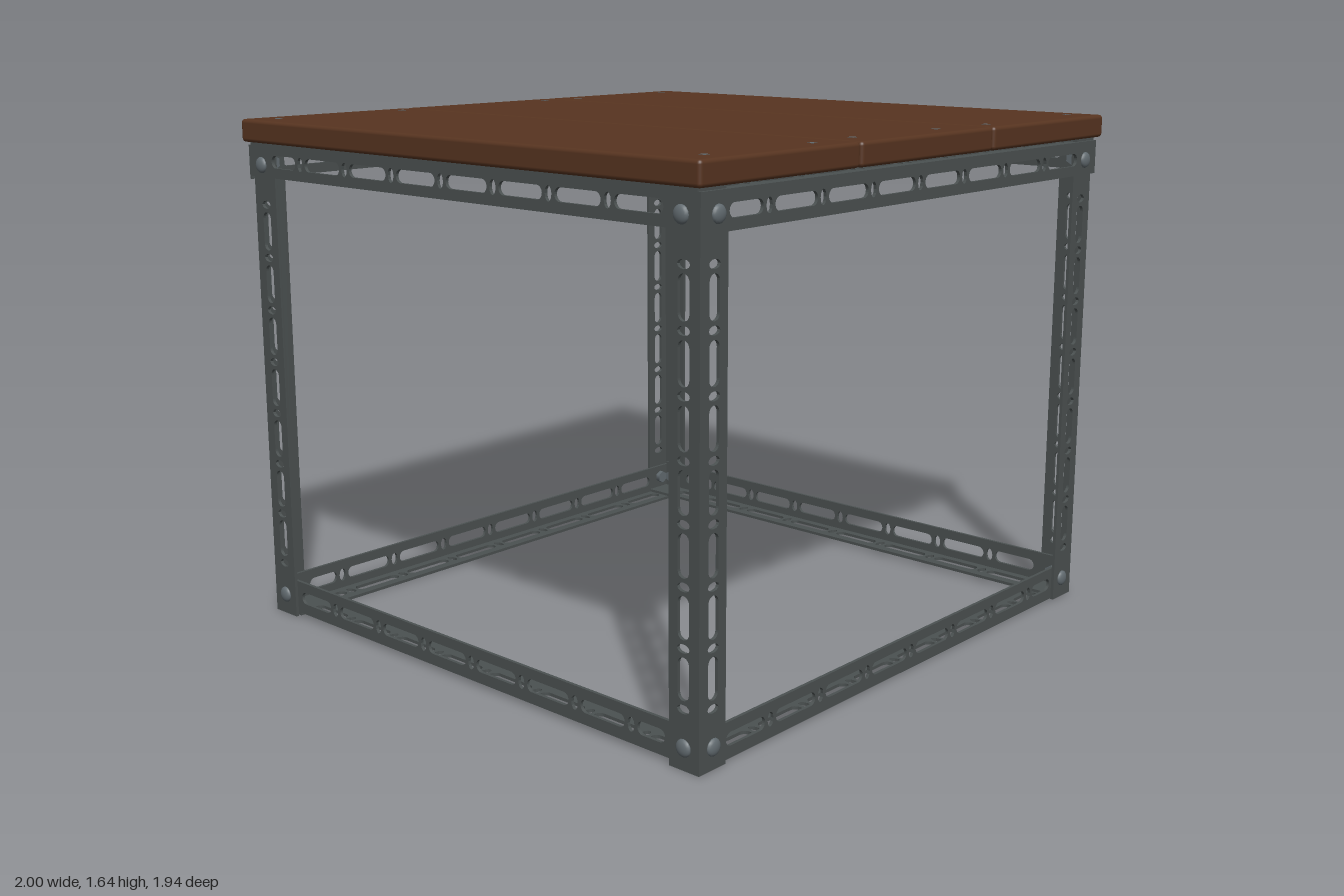
import * as THREE from 'three';
import { RoundedBoxGeometry } from 'three/addons/geometries/RoundedBoxGeometry.js';

const W = 0.108, T = 0.01; // flange width and steel thickness
const steel = new THREE.MeshStandardMaterial({ name: 'dark steel', color: 0x4b5151 });
const boltSteel = new THREE.MeshStandardMaterial({ name: 'bolt steel', color: 0x626b70 });
const wood = new THREE.MeshStandardMaterial({ name: 'stained wood', color: 0x573420 });

// Rounded slot running along x
function slot(x0, x1, y, r) {
  const p = new THREE.Path();
  p.absarc(x1 - r, y, r, -Math.PI / 2, Math.PI / 2, false);
  p.absarc(x0 + r, y, r, Math.PI / 2, Math.PI * 1.5, false);
  p.closePath();
  return p;
}

// Perforated strip along x: alternating cross ovals and long slots
function flange(length, period, phase) {
  const h = length / 2, limit = h - 0.11, mid = 0.056;
  const s = new THREE.Shape();
  s.moveTo(-h, 0).lineTo(h, 0).lineTo(h, W).lineTo(-h, W).closePath();
  for (let k = -6; k <= 6; k++) {
    const x = phase + k * period;
    if (Math.abs(x) < limit - 0.013) {
      s.holes.push(new THREE.Path().absellipse(x, mid, 0.013, 0.022, 0, Math.PI * 2, false, 0));
    }
    const a = Math.max(x + 0.024, -limit), b = Math.min(x + period - 0.024, limit);
    if (b - a > 0.045) s.holes.push(slot(a, b, mid, 0.02));
  }
  return new THREE.ExtrudeGeometry(s, { depth: T, bevelEnabled: false, curveSegments: 6 });
}

// L-section along x, outer corner on the local x axis, opening to +y and -z
function angleBar(name, length, period, phase) {
  const bar = new THREE.Group();
  bar.name = name;
  const face = flange(length, period, phase).translate(0, 0, -T);
  const shelf = flange(length, period, phase).rotateX(-Math.PI / 2);
  for (const [geo, n] of [[face, 'Face'], [shelf, 'Shelf']]) {
    const m = new THREE.Mesh(geo, steel);
    m.name = name + n;
    bar.add(m);
  }
  return bar;
}

// Domed bolt with a hex nut behind, pointing along local +z
function bolt() {
  const g = new THREE.Group();
  g.name = 'bolt';
  const dome = new THREE.Mesh(
    new THREE.SphereGeometry(0.026, 16, 6, 0, Math.PI * 2, 0, Math.PI / 2).rotateX(Math.PI / 2).scale(1, 1, 0.5), boltSteel);
  dome.name = 'boltHead';
  const nut = new THREE.Mesh(new THREE.CylinderGeometry(0.024, 0.024, 0.016, 6).rotateX(Math.PI / 2), boltSteel);
  nut.name = 'boltNut';
  nut.position.z = -0.028;
  g.add(dome, nut);
  return g;
}

export function createModel() {
  const model = new THREE.Group();
  model.name = 'table';

  // Corner posts
  for (const [sx, sz, turn] of [[1, 1, 0], [1, -1, 1], [-1, -1, 2], [-1, 1, 3]]) {
    const bar = angleBar('post', 1.55, 0.171, 0.085);
    bar.rotation.z = Math.PI / 2;
    const post = new THREE.Group();
    post.name = 'cornerPost';
    post.add(bar);
    post.rotation.y = turn * Math.PI / 2;
    post.position.set(sx * 0.97, 0.775, sz * 0.948);
    model.add(post);
  }

  // Rails: bottom ones inside the posts, top ones outside and inverted
  const rails = [
    // name, length, distance from centre, corner height, side, inverted
    ['bottomCrossRail', 1.916, 0.938, 0.003, 0, false],
    ['bottomSideRail', 1.854, 0.96, 0.014, 1, false],
    ['topCrossRail', 1.96, 0.958, 1.56, 0, true],
    ['topSideRail', 1.896, 0.98, 1.57, 1, true],
  ];
  for (const [name, length, dist, y, side, inverted] of rails) {
    for (const half of [0, 2]) {
      const bar = angleBar(name, length, side ? 0.221 : 0.228, 0.027);
      if (inverted) bar.rotation.z = Math.PI;
      bar.position.set(0, y, dist);
      const holder = new THREE.Group();
      holder.name = name + 'Holder';
      holder.add(bar);
      holder.rotation.y = (side + half) * Math.PI / 2;
      model.add(holder);
    }
  }

  // Bolts on both outer faces of every corner
  for (const sx of [1, -1]) for (const sz of [1, -1]) {
    for (const [y, out] of [[0.066, 0], [1.5, 0.01]]) {
      const onFront = bolt();
      onFront.position.set(sx * 0.912, y, sz * (0.948 + out));
      if (sz < 0) onFront.rotation.y = Math.PI;
      const onSide = bolt();
      onSide.position.set(sx * (0.97 + out), y, sz * 0.893);
      onSide.rotation.y = sx * Math.PI / 2;
      model.add(onFront, onSide);
    }
  }

  // Three top planks
  for (const x of [-0.667, 0, 0.667]) {
    const plank = new THREE.Mesh(new RoundedBoxGeometry(0.661, 0.072, 1.942, 3, 0.012), wood);
    plank.name = 'plank';
    plank.position.set(x, 1.606, 0);
    model.add(plank);
  }

  // Nail heads
  const nails = [
    [-0.91, -0.89], [-0.41, -0.89], [0.25, -0.885], [0.42, -0.885], [0.885, -0.89],
    [-0.89, 0.89], [-0.455, 0.895], [-0.24, 0.87], [0.15, 0.885], [0.4, 0.9], [0.91, 0.885],
  ];
  for (const [x, z] of nails) {
    const nail = new THREE.Mesh(new THREE.BoxGeometry(0.02, 0.004, 0.02), boltSteel);
    nail.name = 'nailHead';
    nail.position.set(x, 1.641, z);
    model.add(nail);
  }
  return model;
}
